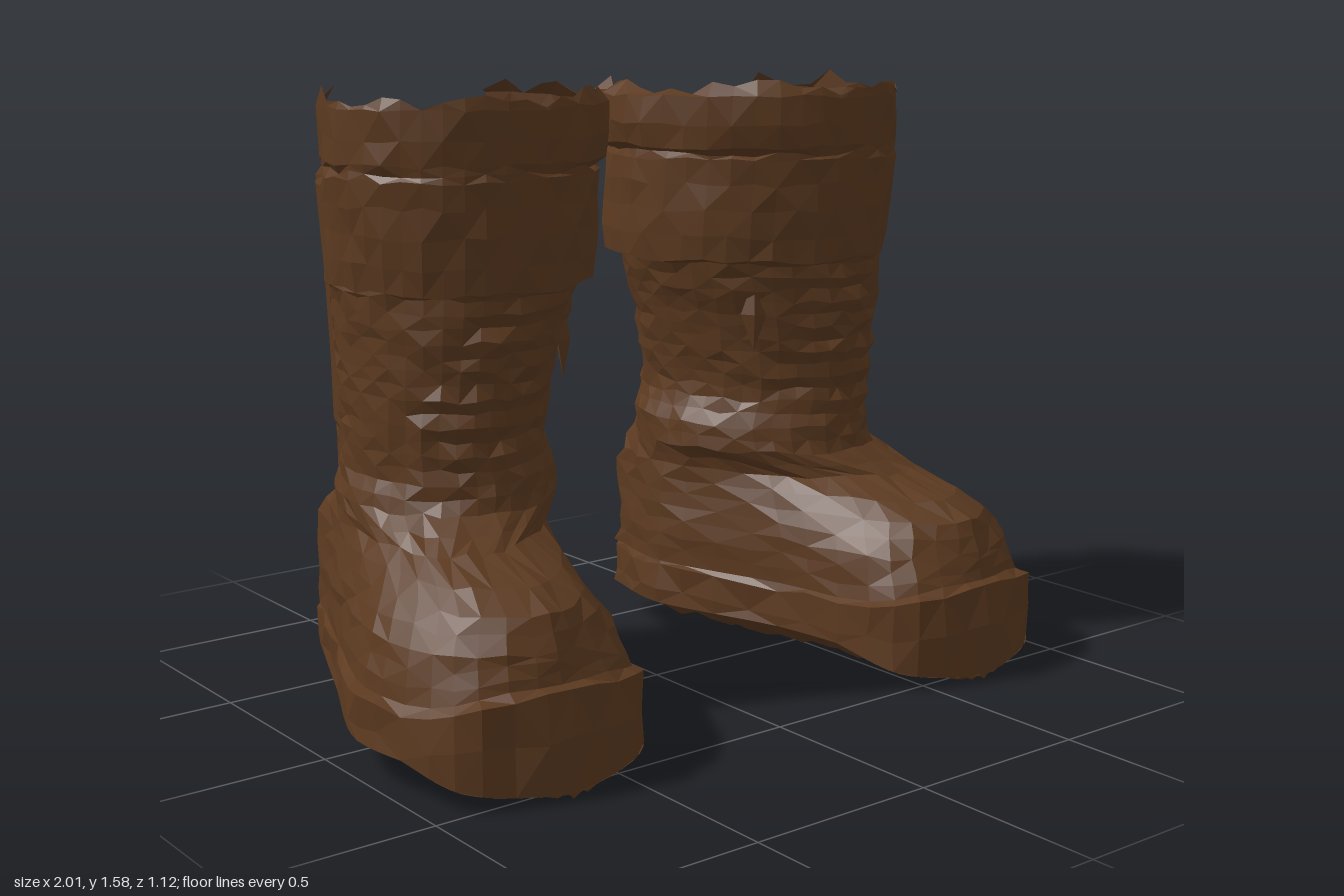
import * as THREE from 'three';

const leather = new THREE.MeshStandardMaterial({ color: 0x5c3a20, flatShading: true, side: THREE.DoubleSide });
leather.name = 'brown leather';

const COLS = 32;
const clamp01 = (t) => Math.min(1, Math.max(0, t));

function makeRandom(seed) {
  let s = seed;
  return () => {
    s = (s * 16807) % 2147483647;
    return (s / 2147483647) * 2 - 1;
  };
}

// Horizontal section through the foot: inner heel, round the toe, to outer heel.
function footSection(pairs) {
  const pts = pairs.map(([x, z]) => new THREE.Vector3(x, 0, z));
  const curve = new THREE.CatmullRomCurve3(pts, false, 'catmullrom', 0.4);
  return (u) => curve.getPoint(u);
}

// Horizontal section through the shaft: an oval arc open at the back between two angles.
function shaftSection(xMin, xMax, zFront, zBack, start, end) {
  const zc = (zFront + zBack) / 2;
  return (u) => {
    const a = THREE.MathUtils.degToRad(start + (end - start) * u);
    const dz = Math.sin(a) * (zFront - zBack) / 2;
    return new THREE.Vector3((xMin + xMax) / 2 + Math.cos(a) * (xMax - xMin) / 2 + dz * 0.13, 0, zc + dz);
  };
}

const soleLine = footSection([[0.26, -0.54], [0.22, -0.28], [0.34, 0.1], [0.41, 0.48], [0.67, 0.56], [0.93, 0.47], [1, 0.16], [0.86, -0.19], [0.72, -0.53]]);
const stations = [
  [0.09, soleLine],
  [0.2, soleLine],
  [0.215, footSection([[0.27, -0.53], [0.23, -0.28], [0.35, 0.1], [0.43, 0.46], [0.68, 0.53], [0.91, 0.44], [0.97, 0.15], [0.85, -0.19], [0.72, -0.52]])],
  [0.34, footSection([[0.27, -0.53], [0.23, -0.28], [0.35, 0.1], [0.45, 0.42], [0.68, 0.51], [0.89, 0.41], [0.94, 0.14], [0.84, -0.2], [0.72, -0.52]])],
  [0.44, footSection([[0.27, -0.53], [0.24, -0.28], [0.36, 0.06], [0.51, 0.35], [0.68, 0.475], [0.83, 0.35], [0.87, 0.08], [0.82, -0.2], [0.72, -0.51]])],
  [0.5, footSection([[0.27, -0.52], [0.24, -0.28], [0.37, 0.02], [0.52, 0.17], [0.66, 0.23], [0.78, 0.17], [0.82, 0.02], [0.8, -0.22], [0.71, -0.5]])],
  [0.56, shaftSection(0.23, 0.8, 0.13, -0.56, 238, -52)],
  [0.63, shaftSection(0.23, 0.78, 0.11, -0.56, 238, -52)],
  [0.72, shaftSection(0.27, 0.78, 0.11, -0.56, 238, -52)],
  [0.9, shaftSection(0.23, 0.79, 0.13, -0.56, 236, -50)],
  [1.1, shaftSection(0.16, 0.81, 0.15, -0.555, 234, -49)],
  [1.35, shaftSection(0.14, 0.84, 0.18, -0.545, 232, -47)],
  [1.6, shaftSection(0.13, 0.84, 0.19, -0.535, 230, -46)],
];

// Point on the boot wall at height y, pushed outward by off.
function wall(u, y, off = 0) {
  let k = 0;
  while (k < stations.length - 2 && y > stations[k + 1][0]) k++;
  const [y0, f0] = stations[k];
  const [y1, f1] = stations[k + 1];
  const p = f0(u).lerp(f1(u), clamp01((y - y0) / (y1 - y0)));
  const dir = new THREE.Vector3(p.x - 0.5, 0, p.z + 0.2).normalize();
  p.addScaledVector(dir, off);
  p.y = y;
  return p;
}

// Lower edge of the sole wall, dipping to the ground at the toe.
function soleEdge(u) {
  const p = wall(u, 0.09);
  p.y = 0.095 - 0.085 * Math.sqrt(clamp01(1 - Math.abs(u - 0.5) / 0.17));
  return p;
}

// Surface through a grid of points given by row and column.
function sheet(name, rows, cols, pointAt) {
  const pos = [];
  const index = [];
  for (let j = 0; j <= rows; j++) {
    for (let i = 0; i <= cols; i++) pos.push(...pointAt(i, j).toArray());
  }
  for (let j = 0; j < rows; j++) {
    for (let i = 0; i < cols; i++) {
      const a = j * (cols + 1) + i;
      const b = a + cols + 1;
      if ((i + j) % 2) index.push(a, a + 1, b, a + 1, b + 1, b);
      else index.push(a, a + 1, b + 1, a, b + 1, b);
    }
  }
  const geo = new THREE.BufferGeometry();
  geo.setAttribute('position', new THREE.Float32BufferAttribute(pos, 3));
  geo.setIndex(index);
  geo.computeVertexNormals();
  const mesh = new THREE.Mesh(geo, leather);
  mesh.name = name;
  return mesh;
}

// Evenly spaced wall rows [height, offset, inner cuff offset].
function plainRows(y0, y1, n) {
  return Array.from({ length: n }, (_, i) => [y0 + (y1 - y0) * (i / (n - 1)), 0, 0]);
}

// Side of the sole, with the toe bumper standing higher
function makeSoleWall() {
  const rand = makeRandom(19);
  return sheet('soleWall', 3, COLS, (i, j) => {
    const u = i / COLS;
    if (j === 0) return soleEdge(u);
    const lift = 0.05 * clamp01(1.6 - Math.abs(u - 0.5) / 0.11);
    const p = wall(u, [0, 0.13, 0.2, 0.215][j], j < 3 ? rand() * 0.009 : 0);
    p.y += lift * [0, 0.3, 1, 1][j] + (j < 3 ? rand() * 0.01 : 0);
    return p;
  });
}

// Ridged underside, bowed across its width
function makeTread() {
  const rand = makeRandom(7);
  const cols = 10;
  return sheet('tread', 30, cols, (i, j) => {
    const u = 0.5 * (j / 30);
    const t = i / cols;
    const p = soleEdge(u).lerp(soleEdge(1 - u), t);
    const low = 0.01 + 0.075 * clamp01((-p.z - 0.12) / 0.4);
    const bow = 1 - Math.pow(Math.abs(2 * t - 1), 3.5);
    const ridge = j > 7 && i > 0 && i < cols ? (j % 2) * 0.012 + rand() * 0.01 : 0;
    p.y = Math.max(0, THREE.MathUtils.lerp(p.y, low, bow) + ridge);
    return p;
  });
}

function makeUpper() {
  const rand = makeRandom(71);
  const rows = [
    ...plainRows(0.215, 0.5, 8),
    ...plainRows(0.53, 1.085, 17),
    // Folded cuff
    [1.095, 0.006, 0.045], [1.16, 0.005, 0.045], [1.23, 0.004, 0.042], [1.3, 0.002, 0.036], [1.365, 0.002, 0.03],
    // Padded collar and rim
    [1.38, -0.006, 0.025], [1.4, 0, 0.06], [1.46, 0, 0.07], [1.53, 0, 0.06], [1.555, -0.005, 0.02],
  ];
  return sheet('bootUpper', rows.length - 1, COLS, (i, j) => {
    const u = i / COLS;
    const [y, base, cuff] = rows[j];
    const rim = j === rows.length - 1;
    const fade = 1 - clamp01(u / 0.5) ** 2;
    const lift = 0.05 * clamp01(1.6 - Math.abs(u - 0.5) / 0.11) * clamp01((0.34 - y) / 0.125);
    // Lacing folds down the front of the shaft
    const front = Math.max(0, 1 - Math.abs(u - 0.53) / 0.22);
    const fold = y > 0.52 && y < 1.09 ? front * ((j % 2 ? 0.005 : -0.005) + rand() * 0.009) : 0;
    const rough = j > 0 ? rand() * 0.006 : 0;
    const p = wall(u, y, base + cuff * fade + fold + rough);
    p.y += lift + (rim ? rand() * 0.025 : j > 0 ? rand() * 0.007 : 0);
    // Ragged edges of the open back
    if (i === 0 || i === COLS) p.z += rand() * 0.022;
    return p;
  });
}

// Raised strip on the outer side of the shaft
function makeBackStay() {
  const profile = [[0.72, 0], [0.74, 0.009], [0.9, 0.009], [1.1, 0.009], [1.34, 0.009], [1.36, 0]];
  return sheet('backStay', profile.length - 1, 4, (i, j) => wall(0.86 + 0.13 * (i / 4), ...profile[j]));
}

function makeBoot(name) {
  const boot = new THREE.Group();
  boot.name = name;
  boot.add(makeUpper(), makeSoleWall(), makeTread(), makeBackStay());
  // Small pull tab beside the lacing
  const tab = new THREE.Mesh(new THREE.OctahedronGeometry(1), leather);
  tab.name = 'pullTab';
  tab.scale.set(0.035, 0.1, 0.02);
  tab.position.copy(wall(0.34, 0.95, 0.005));
  tab.rotation.y = -0.6;
  boot.add(tab);
  return boot;
}

export function createModel() {
  const model = new THREE.Group();
  model.name = 'pairOfBoots';
  const left = makeBoot('leftBoot');
  const right = makeBoot('rightBoot');
  right.scale.x = -1;
  model.add(left, right);
  return model;
}
